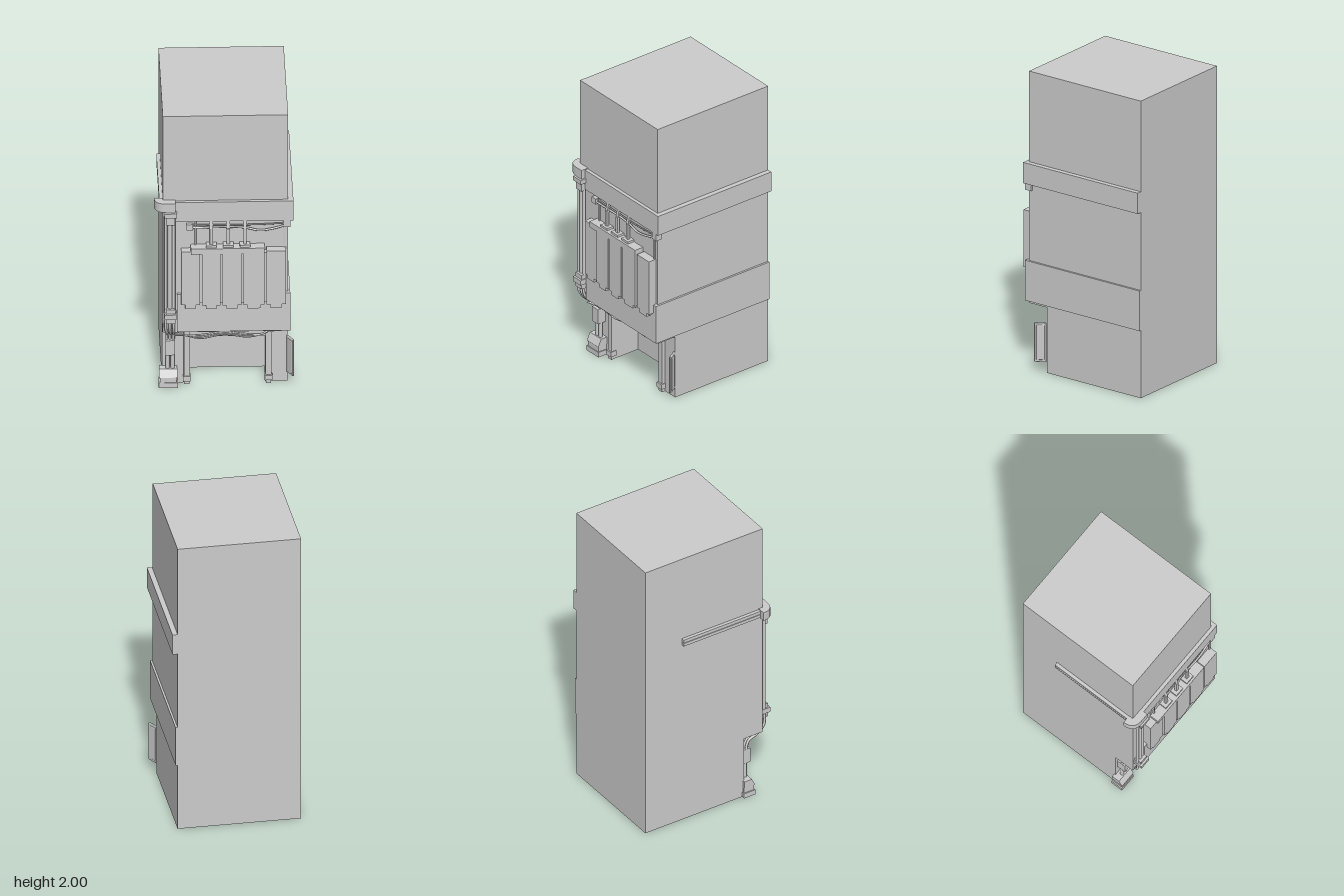
import * as THREE from 'three';
import { RoundedBoxGeometry } from 'three/addons/geometries/RoundedBoxGeometry.js';

export function createModel() {
  const root = new THREE.Group();
  const mat = new THREE.MeshStandardMaterial({ color: 0xcccccc, flatShading: true });
  const shellMat = new THREE.MeshStandardMaterial({ color: 0xcccccc, side: THREE.DoubleSide, flatShading: true });
  const smooth = new THREE.MeshStandardMaterial({ color: 0xcccccc });

  const add = (name, geo, m = mat) => {
    const mesh = new THREE.Mesh(geo, m);
    mesh.name = name;
    root.add(mesh);
    return mesh;
  };
  // Box given by its limits on each axis
  const box = (name, x0, x1, y0, y1, z0, z1) => {
    const mesh = add(name, new THREE.BoxGeometry(x1 - x0, y1 - y0, z1 - z0));
    mesh.position.set((x0 + x1) / 2, (y0 + y1) / 2, (z0 + z1) / 2);
    return mesh;
  };
  const cable = (name, pts, r = 0.007) => {
    const curve = new THREE.CatmullRomCurve3(pts.map(p => new THREE.Vector3(...p)));
    return add(name, new THREE.TubeGeometry(curve, 24, r, 8), smooth);
  };
  const pipe = (name, x, y0, y1, z, r) => {
    const mesh = add(name, new THREE.CylinderGeometry(r, r, y1 - y0, 12), smooth);
    mesh.position.set(x, (y0 + y1) / 2, z);
    return mesh;
  };
  const quad = (name, a, b, c, d) => {
    const g = new THREE.BufferGeometry();
    g.setAttribute('position', new THREE.Float32BufferAttribute([...a, ...b, ...c, ...d], 3));
    g.setIndex([0, 1, 2, 0, 2, 3]);
    g.computeVertexNormals();
    return add(name, g, shellMat);
  };
  // Upright walls along a plan outline of [x, z] points
  const walls = (name, plan, y0, y1) => {
    for (let i = 0; i < plan.length - 1; i++) {
      const [ax, az] = plan[i], [bx, bz] = plan[i + 1];
      quad(name, [ax, y0, az], [bx, y0, bz], [bx, y1, bz], [ax, y1, az]);
    }
  };
  const level = (name, x0, x1, z0, z1, y) =>
    quad(name, [x0, y, z1], [x1, y, z1], [x1, y, z0], [x0, y, z0]);
  // Plan shape of [x, z] points raised from y0 to y1
  const raised = (name, shape, y0, y1) => {
    const g = new THREE.ExtrudeGeometry(shape, { depth: y1 - y0, bevelEnabled: false, curveSegments: 8 });
    g.rotateX(-Math.PI / 2);
    return add(name, g.translate(0, y0, 0));
  };

  // Hollow cabinet, open underneath, with a stepped-back base
  const L = -0.39, R = 0.4, B = -0.475, F = 0.41, S = 0.27, Y = 0.44;
  walls('cabinetWall', [[L, F], [R, F], [R, B], [L, B], [L, F]], Y, 2);
  level('cabinetTop', L, R, B, F, 2);
  level('overhang', L, R, S, F, Y);
  walls('baseWall', [[0.26, S], [R, S], [R, B], [L, B], [L, S], [-0.22, S]], 0, Y);

  // Recess in the base
  walls('recessWall', [[-0.22, S], [-0.22, 0.08], [0.26, 0.08], [0.26, S]], 0, 0.33);
  level('recessCeiling', -0.22, 0.26, 0.08, S, 0.33);
  walls('lintel', [[-0.22, S], [0.26, S]], 0.33, Y);

  // Bands wrapping the front and the left side
  const band = (name, x0, x1, y0, y1) => {
    const pts = [[x0, 0.433], [x1, 0.433], [x1, B], [0.395, B], [0.395, 0.405], [x0, 0.405]];
    raised(name, new THREE.Shape(pts.map(([x, z]) => new THREE.Vector2(x, -z))), y0, y1);
  };
  band('lowerBand', -0.3, 0.413, 0.455, 0.725);
  band('upperBand', -0.31, 0.433, 1.25, 1.39);

  // Row of five front panels with tabs below and a header above
  box('panelBacking', -0.27, 0.375, 0.67, 1.03, 0.41, 0.448);
  [[-0.275, -0.157, 1.05, 0.462], [-0.145, -0.027, 1.035, 0.472], [-0.015, 0.103, 1.035, 0.472],
    [0.117, 0.25, 1.035, 0.472], [0.262, 0.385, 1.05, 0.468]].forEach(([x0, x1, top, z]) => {
    box('panel', x0, x1, 0.665, top, 0.41, z);
    box('panelTab', x0 + 0.025, x1 - 0.025, 0.64, 0.665, 0.43, z);
  });
  box('panelHeader', -0.215, 0.25, 1.035, 1.075, 0.41, 0.474);

  // Plugs with flat conduits rising from the header
  [-0.085, 0.022, 0.127].forEach(x => {
    box('plug', x - 0.033, x + 0.033, 1.075, 1.09, 0.41, 0.46);
    box('conduit', x - 0.01, x + 0.01, 1.09, 1.2, 0.425, 0.442);
    const bend = box('conduitBend', x - 0.01, x + 0.01, 1.19, 1.255, 0.418, 0.435);
    bend.rotation.x = -0.2;
  });

  // Cables and junction boxes above the panels
  box('junctionBox', -0.24, -0.2, 1.19, 1.23, 0.41, 0.435);
  box('junctionBox', 0.37, 0.413, 1.2, 1.25, 0.385, 0.432);
  cable('upperCable', [[-0.2, 1.222, 0.42], [0, 1.222, 0.425], [0.2, 1.22, 0.425], [0.38, 1.225, 0.42]], 0.005);
  cable('upperCable', [[-0.2, 1.2, 0.42], [0.05, 1.205, 0.425], [0.13, 1.2, 0.428], [0.22, 1.18, 0.43],
    [0.3, 1.19, 0.428], [0.38, 1.208, 0.42]]);
  pipe('dropCable', -0.185, 1.07, 1.25, 0.416, 0.006);
  pipe('dropCable', 0.375, 1.04, 1.21, 0.416, 0.006);

  // Rounded corner duct and the side rail feeding it
  const duct = new THREE.Shape();
  duct.moveTo(-0.445, -0.38);
  duct.lineTo(-0.31, -0.38);
  duct.lineTo(-0.31, -0.463);
  duct.lineTo(-0.37, -0.463);
  duct.quadraticCurveTo(-0.445, -0.46, -0.445, -0.38);
  raised('cornerDuct', duct, 1.335, 1.397);
  [1.353, 1.379].forEach(y => box('sideRail', -0.412, -0.39, y - 0.011, y + 0.011, -0.2, 0.385));

  // Riser pipes with collars
  box('upperCollar', -0.368, -0.315, 1.24, 1.34, 0.41, 0.46);
  box('upperCollar', -0.38, -0.303, 1.3, 1.33, 0.41, 0.474);
  [-0.372, -0.346, -0.322].forEach((x, i) => {
    pipe('riserPipe', x, 0.6, 1.29, 0.432, i === 1 ? 0.014 : 0.01);
    const xe = -0.342 + (i - 1) * 0.02;
    cable('riserBend', [[x, 0.56, 0.435], [x, 0.48, 0.43], [xe, 0.42, 0.385], [xe, 0.395, 0.325],
      [xe, 0.35, 0.305], [xe, 0.31, 0.303]], 0.009);
  });
  box('lowerCollar', -0.372, -0.313, 0.53, 0.63, 0.41, 0.46);
  box('lowerCollar', -0.382, -0.305, 0.565, 0.6, 0.41, 0.474);
  box('lowerCoupling', -0.37, -0.31, 0.23, 0.335, S, 0.33);
  [-0.357, -0.325].forEach(x => pipe('footPipe', x, 0.1, 0.24, 0.297, 0.012));

  // Foot box with a sloping top
  box('footBase', -0.413, -0.293, 0, 0.035, 0.255, 0.34);
  const foot = new THREE.BoxGeometry(0.115, 0.05, 0.08);
  const fp = foot.attributes.position;
  for (let i = 0; i < fp.count; i++)
    if (fp.getY(i) > 0 && fp.getZ(i) > 0) fp.setZ(i, 0.015);
  foot.computeVertexNormals();
  box('footBlock', -0.405, -0.3, 0.03, 0.08, 0.26, 0.335);
  add('footSlope', foot).position.set(-0.353, 0.098, 0.3);

  // Posts on both sides of the recess
  [-0.235, 0.28].forEach(x => {
    box('post', x - 0.019, x + 0.019, 0.05, 0.4, 0.265, 0.295);
    box('postFoot', x - 0.024, x + 0.024, 0.025, 0.06, 0.26, 0.305);
    box('postTip', x - 0.017, x + 0.017, 0, 0.025, 0.265, 0.295);
  });

  // Rails and sagging cables under the overhang
  box('cableRail', -0.27, 0.31, 0.405, 0.43, 0.265, 0.29);
  box('cableRailLip', -0.25, 0.3, 0.38, 0.398, 0.265, 0.3);
  box('railEnd', 0.275, 0.312, 0.375, 0.43, 0.265, 0.31);
  [0, 1, 2].forEach(i => cable('saggingCable', [[-0.32, 0.42, 0.41 - i * 0.02], [-0.25, 0.385, 0.35],
    [-0.15, 0.345 + i * 0.012, 0.32], [0, 0.365 + i * 0.008, 0.31], [0.15, 0.345 + i * 0.01, 0.31],
    [0.24, 0.365, 0.31], [0.29, 0.39, 0.3]], 0.006));

  // Small hatch door standing open at the front corner
  const door = new THREE.Group();
  door.name = 'hatchDoor';
  const leaf = new THREE.Mesh(new RoundedBoxGeometry(0.012, 0.265, 0.078, 2, 0.005), smooth);
  leaf.name = 'doorLeaf';
  const inset = new THREE.Mesh(new RoundedBoxGeometry(0.018, 0.235, 0.055, 2, 0.006), smooth);
  inset.name = 'doorInset';
  door.add(leaf, inset);
  door.position.set(0.417, 0.203, 0.308);
  door.rotation.y = 0.52;
  root.add(door);

  return root;
}
